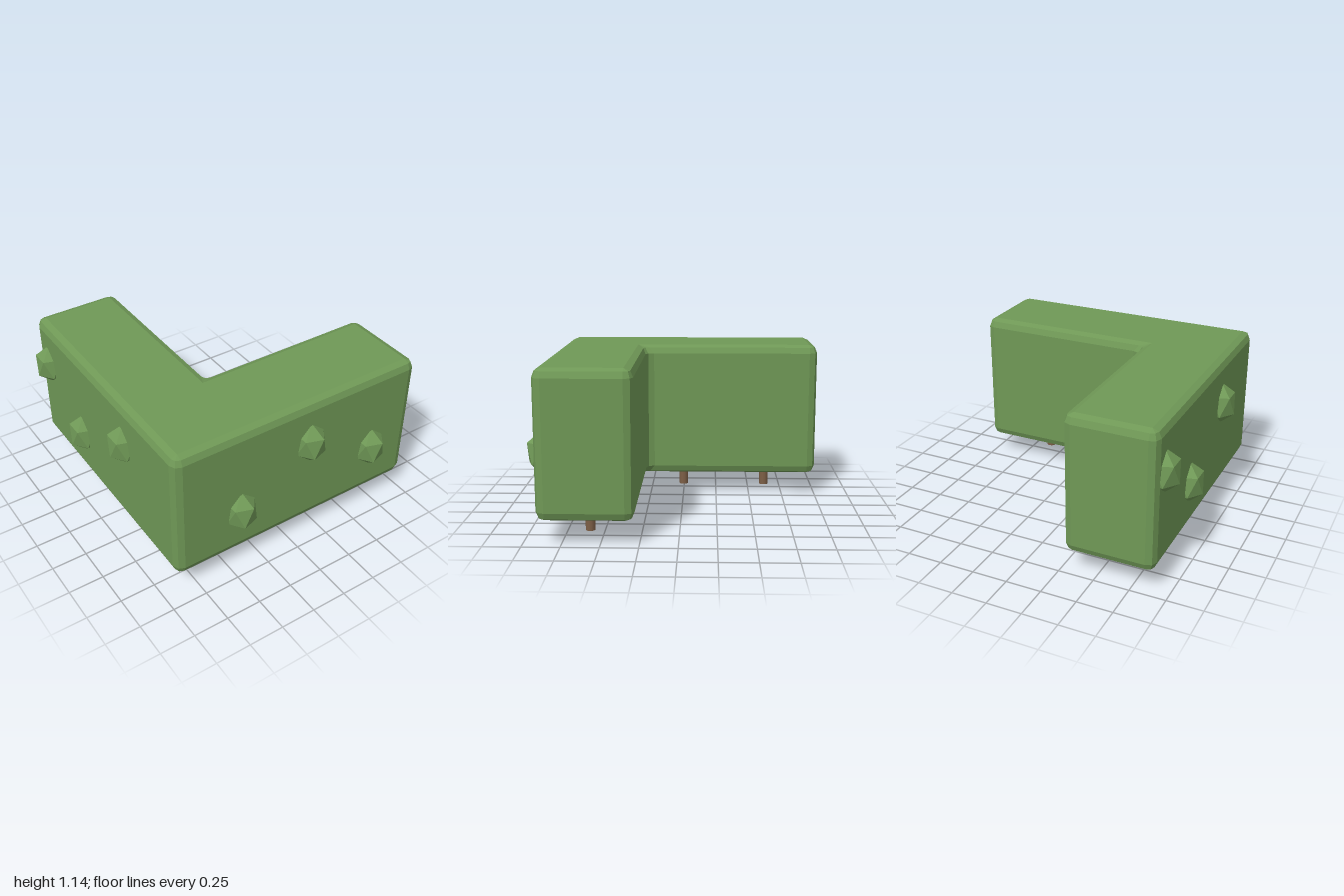
import * as THREE from 'three';
import { ConvexGeometry } from 'three/addons/geometries/ConvexGeometry.js';

const leafGreen = new THREE.MeshStandardMaterial({ color: 0x6f9856 });
leafGreen.name = 'leafGreen';
const barkBrown = new THREE.MeshStandardMaterial({ color: 0x7d5f46 });
barkBrown.name = 'barkBrown';

// L-shaped block with a two-segment bevel, stacked from inset outlines
function hedgeGeometry() {
  const r = 0.06, y0 = 0.16, y1 = 1.14;
  // x, z and the outward signs used for the inset
  const corners = [
    [-0.91, 0.91, -1, 1], [0.998, 0.91, 1, 1], [0.998, 0.278, 1, -1],
    [-0.28, 0.278, 1, -1], [-0.28, -0.998, 1, -1], [-0.91, -0.998, -1, -1],
  ];
  const ring = (d, y) => {
    const t = r - d;
    const pts = corners.map(([x, z, sx, sz]) => new THREE.Vector3(x - sx * d, y, z - sz * d));
    return pts.flatMap((p, i) => {
      const a = pts[(i + 5) % 6].clone().sub(p).setLength(t);
      const b = pts[(i + 1) % 6].clone().sub(p).setLength(t);
      const mid = a.clone().add(b).multiplyScalar(1 - Math.SQRT1_2);
      return [p.clone().add(a), p.clone().add(mid), p.clone().add(b)];
    });
  };
  const angles = [0, Math.PI / 4, Math.PI / 2];
  const inset = (a) => r * (1 - Math.cos(a));
  const drop = (a) => r * (1 - Math.sin(a));
  const rings = [
    ...[...angles].reverse().map((a) => ring(inset(a), y0 + drop(a))),
    ...angles.map((a) => ring(inset(a), y1 - drop(a))),
  ];

  const verts = [];
  const tri = (a, b, c) => {
    const area = b.clone().sub(a).cross(c.clone().sub(a)).length();
    if (area > 1e-8) verts.push(...a, ...b, ...c);
  };
  for (let k = 0; k < rings.length - 1; k++) {
    const lo = rings[k], hi = rings[k + 1], n = lo.length;
    for (let i = 0; i < n; i++) {
      const j = (i + 1) % n;
      tri(lo[i], lo[j], hi[j]);
      tri(lo[i], hi[j], hi[i]);
    }
  }
  // caps fan out from the inner corner
  const top = rings[rings.length - 1], bottom = rings[0];
  for (const [i, j] of [[4, 5], [5, 0], [0, 1], [1, 2]]) {
    tri(top[9], top[i * 3], top[j * 3]);
    tri(bottom[9], bottom[j * 3], bottom[i * 3]);
  }
  const g = new THREE.BufferGeometry();
  g.setAttribute('position', new THREE.Float32BufferAttribute(verts, 3));
  g.computeVertexNormals();
  return g;
}

// Stretched icosahedron standing on its point
function clumpGeometry() {
  const r = 0.118, h = 0.156;
  const pts = [new THREE.Vector3(0, h, 0), new THREE.Vector3(0, -h, 0)];
  for (let i = 0; i < 10; i++) {
    const a = (i * Math.PI) / 5;
    const y = i % 2 ? -0.4472 : 0.4472;
    pts.push(new THREE.Vector3(0.8944 * r * Math.cos(a), y * h, 0.8944 * r * Math.sin(a)));
  }
  return new ConvexGeometry(pts);
}

export function createModel() {
  const model = new THREE.Group();
  model.name = 'cornerHedge';
  const add = (name, geometry, material, x = 0, y = 0, z = 0) => {
    const mesh = new THREE.Mesh(geometry, material);
    mesh.name = name;
    mesh.position.set(x, y, z);
    model.add(mesh);
  };

  add('hedgeBody', hedgeGeometry(), leafGreen);

  // Leaf clumps on the two outer faces
  const clump = clumpGeometry();
  for (const [x, y] of [[-0.415, 0.495], [0.125, 0.82], [0.66, 0.54]]) {
    add('frontLeafClump', clump, leafGreen, x, y, 0.898);
  }
  for (const [z, y] of [[-0.84, 0.82], [-0.365, 0.5], [0.245, 0.82]]) {
    add('sideLeafClump', clump, leafGreen, -0.894, y, z);
  }

  // Short trunks along both arms
  const trunk = new THREE.CylinderGeometry(0.033, 0.033, 0.2, 10);
  for (const [x, z] of [[-0.6, 0.6], [-0.005, 0.6], [0.63, 0.6], [-0.6, 0.005], [-0.6, -0.63]]) {
    add('trunk', trunk, barkBrown, x, 0.1, z);
  }
  return model;
}
